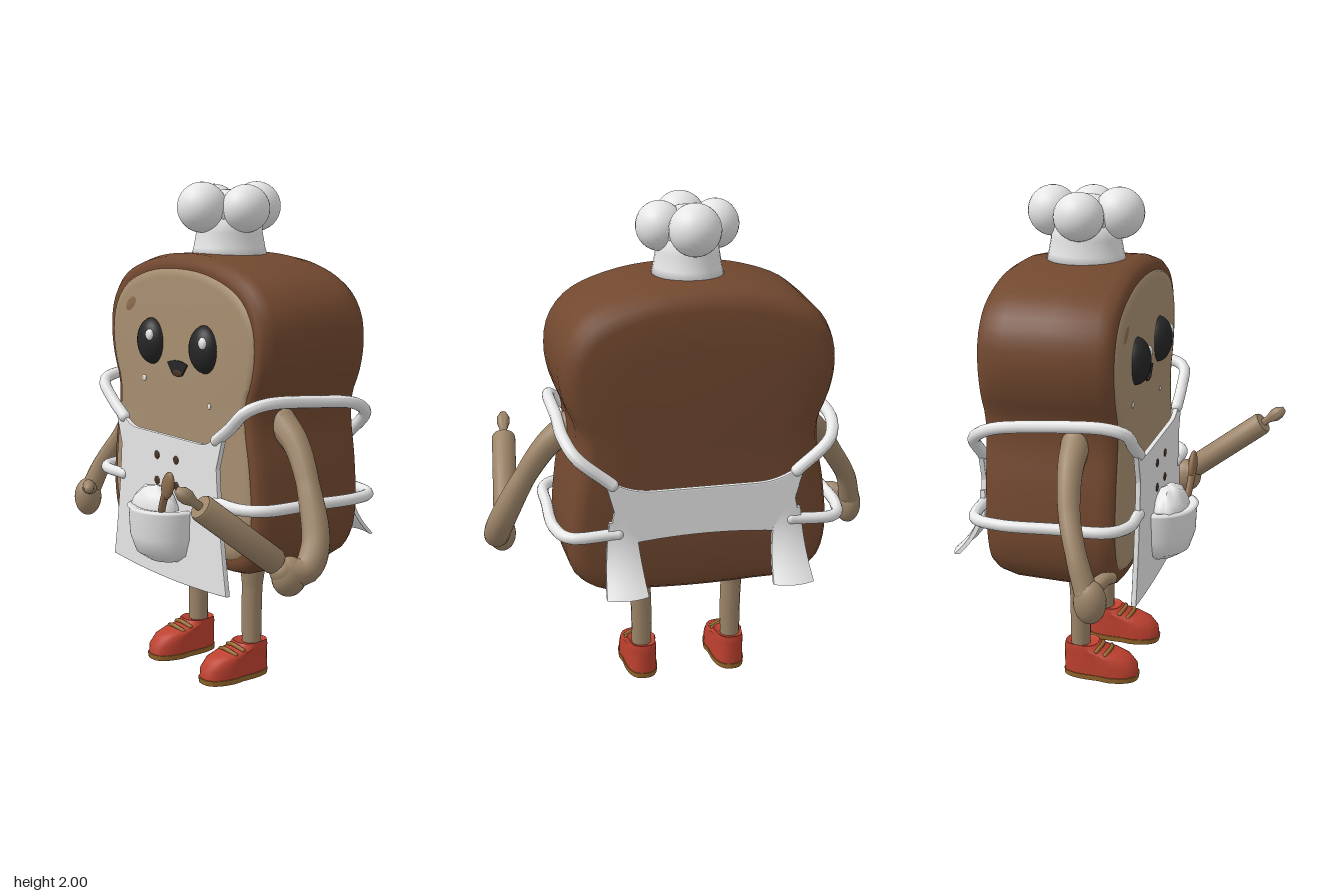
import * as THREE from 'three';
import { toCreasedNormals } from 'three/addons/utils/BufferGeometryUtils.js';

const paint = (name, color, side = THREE.FrontSide) => {
  const m = new THREE.MeshStandardMaterial({ color, side });
  m.name = name;
  return m;
};
const V = (p) => new THREE.Vector3(...p);

export function createModel() {
  const crust = paint('crust brown', 0x72482f);
  const crumb = paint('crumb tan', 0xa68e70);
  const limb = paint('limb tan', 0x9c8468);
  const cloth = paint('cloth white', 0xe6e6e6, THREE.DoubleSide);
  const black = paint('eye black', 0x262627);
  const red = paint('shoe red', 0xbd402f);
  const gold = paint('sole ochre', 0x96662c);
  const wood = paint('wood brown', 0x8d6c4d);
  const dark = paint('dark brown', 0x4a3122);

  const model = new THREE.Group();
  model.name = 'breadChef';

  function add(name, geo, mat, pos = [0, 0, 0], scale = [1, 1, 1]) {
    const m = new THREE.Mesh(geo, mat);
    m.name = name;
    m.position.set(...pos);
    m.scale.set(...scale);
    model.add(m);
    return m;
  }
  const ball = (name, mat, pos, radii) => add(name, new THREE.SphereGeometry(1, 24, 16), mat, pos, radii);

  // Skin over rings of points, closed at both ends
  function loft(rings, crease = 0.7) {
    const n = rings[0].length, pos = [], idx = [];
    rings.forEach((r) => r.forEach((p) => pos.push(p.x, p.y, p.z)));
    for (let i = 0; i < rings.length - 1; i++) {
      for (let j = 0; j < n; j++) {
        const a = i * n + j, b = i * n + (j + 1) % n;
        idx.push(a, a + n, b, b, a + n, b + n);
      }
    }
    [0, rings.length - 1].forEach((k) => {
      const c = rings[k].reduce((s, p) => s.add(p), new THREE.Vector3()).divideScalar(n);
      const ci = pos.length / 3;
      pos.push(c.x, c.y, c.z);
      for (let j = 0; j < n; j++) {
        const a = k * n + j, b = k * n + (j + 1) % n;
        idx.push(ci, k ? b : a, k ? a : b);
      }
    });
    const g = new THREE.BufferGeometry();
    g.setAttribute('position', new THREE.Float32BufferAttribute(pos, 3));
    g.setIndex(idx);
    return toCreasedNormals(g, crease);
  }

  // Tube along a curve with a radius that changes evenly between stops
  function taper(name, points, radii, mat, caps = true) {
    const curve = new THREE.CatmullRomCurve3(points.map(V));
    const segs = 40, sides = 14;
    const g = new THREE.TubeGeometry(curve, segs, 1, sides);
    const p = g.attributes.position, v = new THREE.Vector3();
    const radius = (t) => {
      const f = t * (radii.length - 1), i = Math.min(Math.floor(f), radii.length - 2);
      return THREE.MathUtils.lerp(radii[i], radii[i + 1], f - i);
    };
    for (let i = 0; i < p.count; i++) {
      const t = Math.floor(i / (sides + 1)) / segs, c = curve.getPointAt(t);
      v.fromBufferAttribute(p, i).sub(c).multiplyScalar(radius(t)).add(c);
      p.setXYZ(i, v.x, v.y, v.z);
    }
    g.computeVertexNormals();
    add(name, g, mat);
    if (caps) [0, 1].forEach((t) => ball(name + 'End', mat, curve.getPointAt(t).toArray(), Array(3).fill(radius(t))));
  }

  // Bread slice outline, mirrored about x = 0
  const half = [[0.2, 0.485], [0.4, 0.5], [0.49, 0.56], [0.525, 0.68], [0.51, 0.9], [0.478, 1.08], [0.48, 1.18],
    [0.52, 1.28], [0.54, 1.4], [0.52, 1.52], [0.44, 1.62], [0.25, 1.695]];
  const outline = new THREE.CatmullRomCurve3([[0, 0.48], ...half, [0, 1.72],
    ...half.slice().reverse().map(([x, y]) => [-x, y])].map(([x, y]) => V([x, y, 0])), true).getSpacedPoints(96).slice(0, 96);
  const slice = ([z, s]) => outline.map((p) => {
    const lean = z < 0 ? 1 - 0.05 * (1.72 - p.y) : 1;
    return V([p.x * s, 1.1 + (p.y - 1.1) * s, z * lean]);
  });
  add('loaf', loft([[0.108, 0.92], [0.107, 0.95], [0.09, 0.98], [0.05, 1], [-0.12, 1.0], [-0.32, 0.99],
    [-0.39, 0.965], [-0.425, 0.93], [-0.437, 0.86], [-0.44, 0.6]].map(slice), 1), crust);
  add('crumbFace', loft([[0.118, 0.85], [0.116, 0.895], [0.1, 0.915]].map(slice), 1), crumb);

  // Face
  for (const s of [-1, 1]) {
    ball('eye', black, [s * 0.185, 1.36, 0.115], [0.08, 0.095, 0.058]);
    ball('eyeGlint', cloth, [s * 0.185 + 0.04, 1.39, 0.158], [0.021, 0.024, 0.013]);
  }
  const mouth = new THREE.Shape();
  mouth.moveTo(-0.07, 1.285).quadraticCurveTo(0, 1.31, 0.07, 1.285).lineTo(0.035, 1.24)
    .quadraticCurveTo(0, 1.225, -0.035, 1.24).closePath();
  add('mouth', new THREE.ExtrudeGeometry(mouth, { depth: 0.008, bevelEnabled: false }), black, [0, 0, 0.115]);
  ball('tongue', dark, [0, 1.247, 0.121], [0.033, 0.014, 0.005]);
  ball('crumbDent', wood, [-0.345, 1.5, 0.116], [0.05, 0.025, 0.004]).rotation.z = 0.6;
  ball('fleck', cloth, [-0.245, 1.2, 0.118], [0.013, 0.013, 0.005]);
  ball('fleck', cloth, [0.215, 1.14, 0.118], [0.011, 0.011, 0.005]);

  // Chef hat: flared band and four puffs
  const band = [[0.001, 1.69], [0.145, 1.69], [0.132, 1.74], [0.122, 1.8], [0.12, 1.87], [0.001, 1.9]];
  add('hatBand', new THREE.LatheGeometry(band.map(([x, y]) => new THREE.Vector2(x, y)), 28), cloth,
    [0, 0, -0.135], [1, 1, 1.15]);
  for (const s of [-1, 1]) {
    ball('hatPuff', cloth, [s * 0.108, 1.895, -0.135], [0.092, 0.095, 0.1]);
    ball('hatPuff', cloth, [0, 1.9, -0.135 + s * 0.135], [0.1, 0.1, 0.1]);
  }
  ball('hatCrown', cloth, [0, 1.88, -0.135], [0.13, 0.09, 0.14]);

  // Apron front and back panels
  const bib = new THREE.Shape();
  bib.moveTo(-0.4, 0.43).quadraticCurveTo(0, 0.395, 0.4, 0.43).quadraticCurveTo(0.35, 0.7, 0.335, 0.92)
    .lineTo(0.37, 1.03).lineTo(0.34, 1.05).quadraticCurveTo(0.29, 0.995, 0.22, 0.995).lineTo(-0.22, 0.995)
    .quadraticCurveTo(-0.29, 0.995, -0.34, 1.05).lineTo(-0.37, 1.03).lineTo(-0.335, 0.92)
    .quadraticCurveTo(-0.35, 0.7, -0.4, 0.43);
  const cut = { depth: 0.012, bevelThickness: 0.005, bevelSize: 0.005, bevelSegments: 2, curveSegments: 16 };
  add('apronFront', new THREE.ExtrudeGeometry(bib, cut), cloth, [0, 0, 0.158]);
  const back = new THREE.Shape();
  back.moveTo(-0.38, 0.74).quadraticCurveTo(0, 0.8, 0.38, 0.74).lineTo(0.35, 0.88).lineTo(0.39, 1.02)
    .quadraticCurveTo(0.31, 0.95, 0.2, 0.95).lineTo(-0.2, 0.95).quadraticCurveTo(-0.31, 0.95, -0.39, 1.02)
    .lineTo(-0.35, 0.88).closePath();
  add('apronBack', new THREE.ExtrudeGeometry(back, cut), cloth, [0, 0, -0.467]);

  for (const s of [-1, 1]) {
    const side = (pts) => pts.map(([x, y, z]) => [s * x, y, z]);
    // Straps round the loaf
    taper('shoulderStrap', side([[0.33, 1.03, 0.165], [0.42, 1.09, 0.165], [0.5, 1.16, 0.155], [0.525, 1.185, 0.08],
      [0.525, 1.175, -0.15], [0.525, 1.15, -0.36], [0.49, 1.1, -0.445], [0.36, 0.99, -0.46]]), [0.024, 0.024], cloth);
    taper('waistStrap', side([[0.33, 0.785, 0.165], [0.48, 0.785, 0.16], [0.55, 0.785, 0.1], [0.565, 0.785, -0.1],
      [0.565, 0.78, -0.33], [0.52, 0.78, -0.44], [0.34, 0.79, -0.46]]), [0.023, 0.023], cloth);
    // Flared tail of the back panel
    const tail = new THREE.BoxGeometry(1, 1, 0.02, 6, 12, 1), p = tail.attributes.position;
    for (let i = 0; i < p.count; i++) {
      const t = 0.5 - p.getY(i), w = 0.1 + 0.06 * t;
      p.setXYZ(i, s * 0.325 + p.getX(i) * w, 0.84 - 0.27 * t,
        p.getZ(i) - 0.462 - 0.125 * t ** 2.4 + 0.08 * t * p.getX(i) ** 2);
    }
    tail.computeVertexNormals();
    add('apronTail', tail, cloth);
    // Buttonholes
    for (const y of [0.91, 0.805]) ball('button', dark, [s * 0.068, y, 0.176], [0.018, 0.017, 0.005]);
    // Legs
    taper('leg', side([[0.19, 0.1, -0.115], [0.19, 0.3, -0.115], [0.195, 0.44, -0.115], [0.195, 0.52, -0.115]]),
      [0.04, 0.042, 0.043, 0.06], limb);
    // Shoes: horizontal sections from the ankle down
    const section = ([y, z0, z1, w]) => Array.from({ length: 32 }, (_, i) => {
      const a = i / 32 * Math.PI * 2, c = Math.cos(a), d = -Math.sin(a);
      const sq = (v) => Math.sign(v) * Math.abs(v) ** 0.75;
      return V([s * 0.187 + sq(c) * w * (d > 0 ? 1 : 0.88), y, (z0 + z1) / 2 + sq(d) * (z1 - z0) / 2]);
    });
    add('shoe', loft([[0.14, -0.17, -0.05, 0.052], [0.147, -0.178, -0.04, 0.06], [0.125, -0.182, -0.015, 0.066],
      [0.112, -0.182, 0.05, 0.069], [0.095, -0.182, 0.095, 0.072], [0.06, -0.182, 0.125, 0.074],
      [0.02, -0.182, 0.128, 0.075]].map(section), 1), red);
    add('sole', loft([[0.022, -0.185, 0.133, 0.079], [0, -0.183, 0.13, 0.077]].map(section)), gold);
    for (const [y, z] of [[0.128, 0.012], [0.14, -0.025]]) {
      taper('lace', side([[0.135, y - 0.015, z - 0.01], [0.187, y, z + 0.004], [0.24, y - 0.015, z - 0.01]]), [0.009, 0.009], gold);
    }
  }

  // Pocket with flour and a wooden spoon
  const bowl = [[0.001, 0], [0.08, 0.005], [0.135, 0.04], [0.16, 0.11], [0.165, 0.215], [0.172, 0.225], [0.155, 0.23], [0.001, 0.2]];
  add('pocket', new THREE.LatheGeometry(bowl.map(([x, y]) => new THREE.Vector2(x, y)), 32, -Math.PI / 2, Math.PI),
    cloth, [0, 0.49, 0.168], [1, 1, 0.95]);
  const flour = new THREE.SphereGeometry(1, 20, 12), fp = flour.attributes.position;
  for (let i = 0; i < fp.count; i++) {
    const k = 1 + 0.07 * Math.sin(fp.getX(i) * 9) * Math.cos(fp.getZ(i) * 8);
    fp.setXYZ(i, fp.getX(i) * k, fp.getY(i) * k, fp.getZ(i) * k);
  }
  flour.computeVertexNormals();
  add('flour', flour, cloth, [-0.015, 0.7, 0.22], [0.13, 0.1, 0.075]);
  taper('spoonHandle', [[0.08, 0.68, 0.26], [0.11, 0.74, 0.27], [0.14, 0.8, 0.275]], [0.014, 0.016], wood);
  ball('spoonBowl', wood, [0.158, 0.835, 0.275], [0.035, 0.06, 0.018]).rotation.z = -0.35;

  // Right arm hangs down
  taper('rightArm', [[-0.45, 1.1, -0.05], [-0.55, 1.02, -0.045], [-0.65, 0.88, -0.02], [-0.73, 0.75, 0.03], [-0.765, 0.63, 0.075]],
    [0.058, 0.048, 0.042, 0.04, 0.045], limb);
  ball('rightHand', limb, [-0.765, 0.595, 0.09], [0.055, 0.085, 0.062]);
  taper('rightThumb', [[-0.75, 0.63, 0.09], [-0.7, 0.66, 0.125], [-0.665, 0.655, 0.145]], [0.035, 0.022], limb);

  // Left arm bends forward to hold a rolling pin
  taper('leftArm', [[0.45, 1.1, -0.05], [0.55, 1.02, -0.05], [0.65, 0.87, -0.03], [0.74, 0.68, 0.01], [0.755, 0.6, 0.07], [0.725, 0.6, 0.15]],
    [0.06, 0.05, 0.045, 0.052, 0.055, 0.05], limb);
  ball('leftHand', limb, [0.73, 0.58, 0.125], [0.058, 0.075, 0.07]);
  const pin = [[0.001, 0], [0.046, 0], [0.05, 0.01], [0.05, 0.39], [0.045, 0.4], [0.016, 0.402], [0.016, 0.43],
    [0.028, 0.465], [0.027, 0.49], [0.014, 0.515], [0.001, 0.52]];
  const rollingPin = add('rollingPin', toCreasedNormals(
    new THREE.LatheGeometry(pin.map(([x, y]) => new THREE.Vector2(x, y)), 24), 0.8), limb, [0.708, 0.635, 0.17]);
  rollingPin.quaternion.setFromUnitVectors(V([0, 1, 0]), V([-0.045, 0.32, 0.41]).normalize());

  return model;
}
